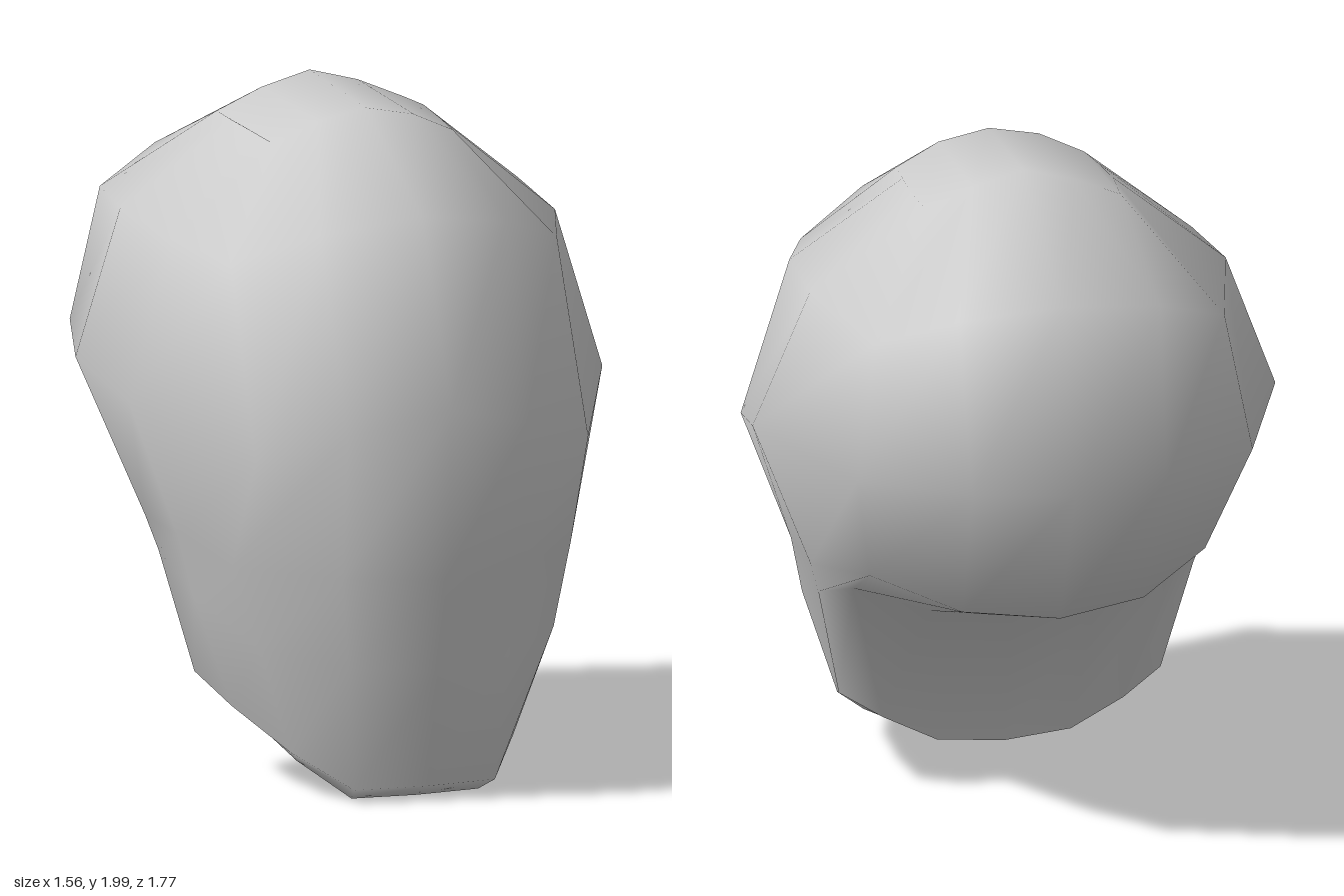
import * as THREE from 'three';

// Half cross-sections, each running from the front centre round the left side to the back centre.
const skullRows = [
  // crown
  [[0, 1.97, 0.22], [0.15, 1.94, 0.22], [0.28, 1.88, 0.2], [0.29, 1.89, 0.08], [0.3, 1.9, -0.08], [0.29, 1.9, -0.22], [0.15, 1.96, -0.22], [0, 2, -0.22]],
  // forehead
  [[0, 1.73, 0.66], [0.29, 1.68, 0.59], [0.51, 1.59, 0.44], [0.6, 1.62, 0.2], [0.62, 1.65, -0.15], [0.52, 1.63, -0.56], [0.3, 1.72, -0.68], [0, 1.76, -0.73]],
  // brow and widest part
  [[0, 1.2, 0.89], [0.28, 1.12, 0.78], [0.52, 1.04, 0.66], [0.74, 1.15, 0.22], [0.78, 1.23, -0.1], [0.59, 1.23, -0.62], [0.29, 1.23, -0.81], [0, 1.23, -0.88]],
];
const jawRows = [
  // cheeks and skull base
  [[0, 0.69, 0.85], [0.28, 0.69, 0.74], [0.53, 0.7, 0.5], [0.59, 0.75, 0.22], [0.59, 0.76, -0.03], [0.5, 0.85, -0.4], [0.27, 0.79, -0.6], [0, 0.78, -0.69]],
  // mouth level and hollow behind the jaw
  [[0, 0.4, 0.78], [0.25, 0.42, 0.71], [0.46, 0.46, 0.54], [0.55, 0.57, 0.25], [0.56, 0.66, 0], [0.48, 0.7, -0.1], [0.25, 0.61, -0.1], [0, 0.58, -0.09]],
  // jawline
  [[0, 0.05, 0.7], [0.22, 0.05, 0.68], [0.35, 0.14, 0.5], [0.44, 0.24, 0.27], [0.48, 0.31, 0.08], [0.36, 0.24, 0.04], [0.2, 0.16, 0.03], [0, 0.14, 0.03]],
];

function headGeometry() {
  const rows = [...skullRows, ...jawRows];
  // Underside: the jawline drawn inward and slightly down
  rows.push(rows[5].map(([x, y, z]) => [x * 0.9, y - 0.02 - 0.03 * z, 0.35 + (z - 0.35) * 0.77]));

  const N = 14;
  const positions = [];
  for (const row of rows) {
    const mirrored = row.slice(1, 7).reverse().map(([x, y, z]) => [-x, y, z]);
    positions.push(...[...row, ...mirrored].flat());
  }

  const index = [];
  const quad = (a, b, c, d) => index.push(a, b, c, a, c, d);

  // Sides
  for (let r = 0; r < rows.length - 1; r++) {
    for (let j = 0; j < N; j++) {
      const k = (j + 1) % N;
      quad((r + 1) * N + j, (r + 1) * N + k, r * N + k, r * N + j);
    }
  }

  // Crown and underside closed by strips running front to back
  const base = (rows.length - 1) * N;
  for (let k = 0; k < 3; k++) {
    for (const [a, b, c, d] of [[k, k + 1, 6 - k, 7 - k], [7 + k, 8 + k, 13 - k, (N - k) % N]]) {
      quad(a, b, c, d);
      quad(base + d, base + c, base + b, base + a);
    }
  }

  const geometry = new THREE.BufferGeometry();
  geometry.setAttribute('position', new THREE.Float32BufferAttribute(positions, 3));
  geometry.setIndex(index);
  geometry.computeVertexNormals();
  return geometry;
}

export function createModel() {
  const group = new THREE.Group();
  const head = new THREE.Mesh(headGeometry(), new THREE.MeshStandardMaterial({ color: 0xcccccc }));
  head.name = 'head';
  group.add(head);
  return group;
}
